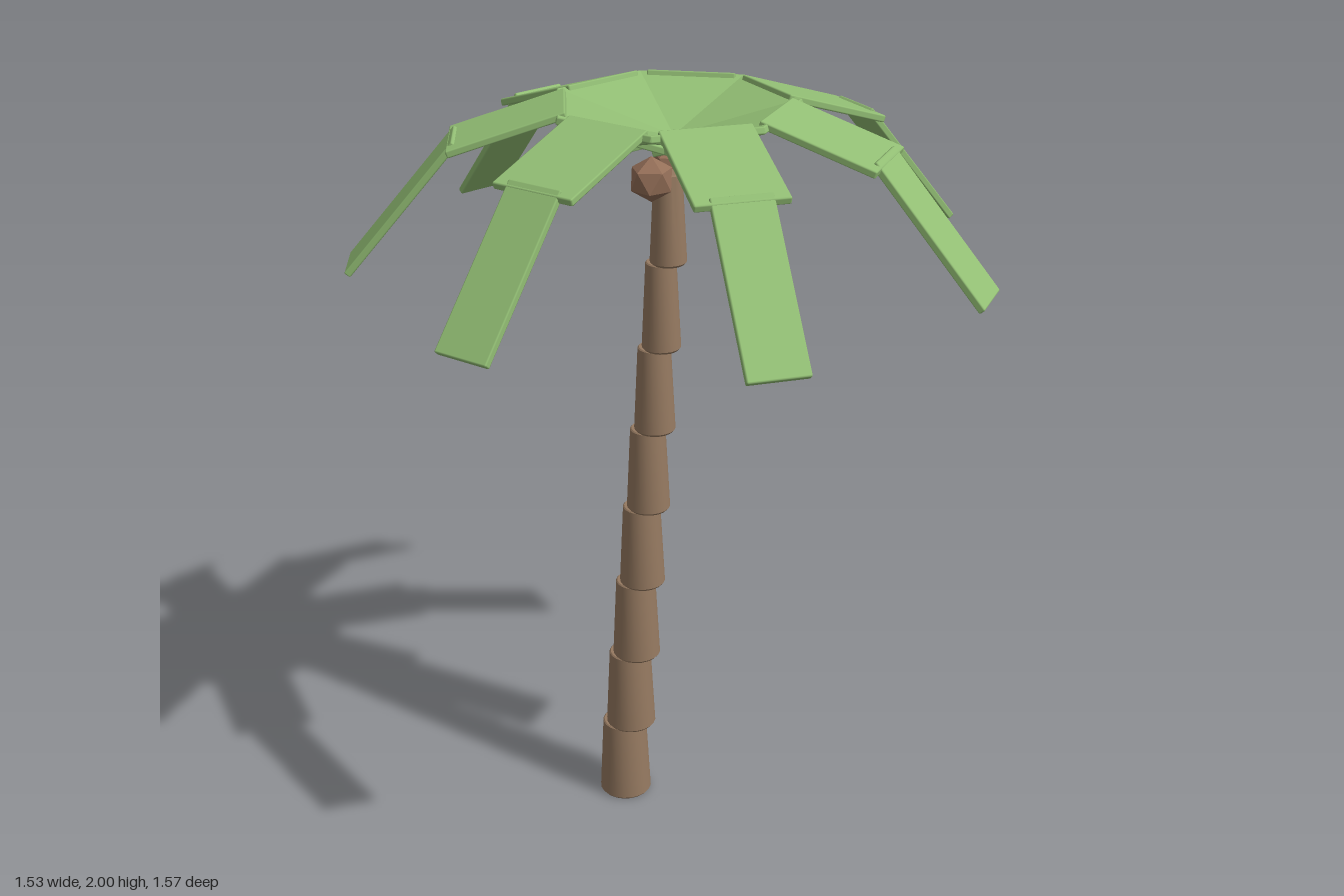
import * as THREE from 'three';
import { toCreasedNormals } from 'three/addons/utils/BufferGeometryUtils.js';
import { RoundedBoxGeometry } from 'three/addons/geometries/RoundedBoxGeometry.js';

const CROWN_X = -0.03;

function createMaterials() {
  return {
    leaf: new THREE.MeshStandardMaterial({ name: 'leafGreen', color: 0x92be74 }),
    bark: new THREE.MeshStandardMaterial({ name: 'barkBrown', color: 0x967a61 }),
    nut: new THREE.MeshStandardMaterial({ name: 'coconutBrown', color: 0x946f58 }),
  };
}

// Thin slab running from one (radius, height) point to another
function slab(name, [r0, y0], [r1, y1], width, material) {
  const length = Math.hypot(r1 - r0, y1 - y0);
  const mesh = new THREE.Mesh(new RoundedBoxGeometry(length, 0.018, width, 1, 0.004), material);
  mesh.name = name;
  mesh.position.set((r0 + r1) / 2, (y0 + y1) / 2, 0);
  mesh.rotation.z = Math.atan2(y1 - y0, r1 - r0);
  return mesh;
}

// One frond: rises from the heart, then bends down twice
function createFrond(material) {
  const frond = new THREE.Group();
  frond.name = 'frond';
  frond.add(
    slab('frondBase', [0, 1.9], [0.275, 1.984], 0.268, material),
    slab('frondMiddle', [0.252, 1.99], [0.53, 1.902], 0.22, material),
    slab('frondTip', [0.512, 1.917], [0.783, 1.602], 0.145, material),
  );
  return frond;
}

// Tapered trunk ring with a slightly bevelled lower lip
function trunkRing(r0, r1, height) {
  const profile = [
    [0, 0], [r0 - 0.005, 0], [r0, 0.006], [r1, height - 0.003], [r1 - 0.003, height], [0, height],
  ].map(([x, y]) => new THREE.Vector2(x, y));
  return toCreasedNormals(new THREE.LatheGeometry(profile, 20), 0.6);
}

export function createModel() {
  const mats = createMaterials();
  const model = new THREE.Group();
  model.name = 'palmTree';

  // Leaning stack of trunk rings
  const trunk = new THREE.Group();
  trunk.name = 'trunk';
  const rings = 8, step = 0.227;
  for (let i = 0; i < rings; i++) {
    const t = i / (rings - 1);
    const r = THREE.MathUtils.lerp(0.071, 0.046, t);
    const ring = new THREE.Mesh(trunkRing(r, r - 0.011, step + 0.002), mats.bark);
    ring.name = 'trunkRing';
    ring.position.set(THREE.MathUtils.lerp(-0.182, -0.045, t), i * step, 0);
    trunk.add(ring);
  }
  model.add(trunk);

  // Seven fronds around the crown
  const crown = new THREE.Group();
  crown.name = 'crown';
  crown.position.x = CROWN_X;
  for (let i = 0; i < 7; i++) {
    const frond = createFrond(mats.leaf);
    frond.rotation.y = (i * Math.PI * 2) / 7;
    crown.add(frond);
  }
  model.add(crown);

  // Three faceted coconuts under the crown
  const nutGeometry = new THREE.IcosahedronGeometry(0.056, 0);
  nutGeometry.rotateZ(0.5536);
  for (let i = 0; i < 3; i++) {
    const a = (i * Math.PI * 2) / 3;
    const nut = new THREE.Mesh(nutGeometry, mats.nut);
    nut.name = 'coconut';
    nut.position.set(-0.022 + 0.076 * Math.cos(a), 1.817, 0.076 * Math.sin(a));
    model.add(nut);
  }
  return model;
}
